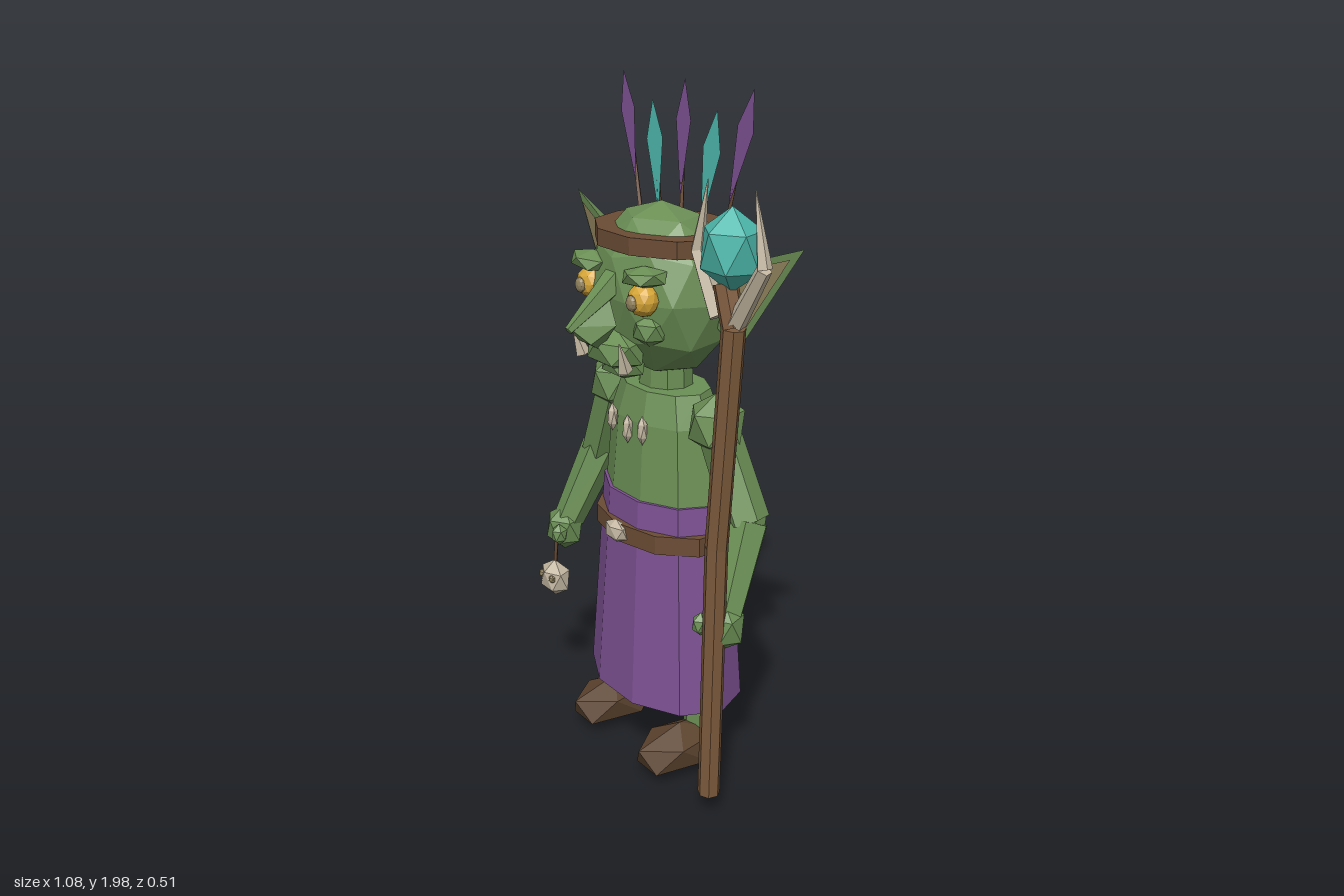
import * as THREE from 'three';
import { ConvexGeometry } from 'three/addons/geometries/ConvexGeometry.js';

const V = (x, y, z) => new THREE.Vector3(x, y, z);
const mat = (name, color, side = THREE.FrontSide) => {
  const m = new THREE.MeshStandardMaterial({ color, side });
  m.name = name;
  return m;
};

// faceted normals
function flat(g) {
  const f = g.index ? g.toNonIndexed() : g;
  f.computeVertexNormals();
  return f;
}
// icosphere standing on a pole vertex, squashed to an ellipsoid
function ball(rx, ry, rz, detail = 0) {
  const g = new THREE.IcosahedronGeometry(1, detail);
  g.rotateX(-Math.atan((1 + Math.sqrt(5)) / 2));
  return flat(g.scale(rx, ry, rz));
}
// ten-sided oval drum from y0 to y1
function drum(r0, r1, y0, y1, sz, turn = Math.PI / 10) {
  const g = new THREE.CylinderGeometry(r1, r0, y1 - y0, 10);
  g.rotateY(turn).scale(1, 1, sz).translate(0, (y0 + y1) / 2, 0);
  return flat(g);
}
// tapered rod from a to b
function rod(a, b, ra, rb, sides = 6) {
  const d = b.clone().sub(a);
  const g = new THREE.CylinderGeometry(rb, ra, d.length(), sides);
  g.applyQuaternion(new THREE.Quaternion().setFromUnitVectors(V(0, 1, 0), d.normalize()));
  const c = a.clone().add(b).multiplyScalar(0.5);
  return flat(g.translate(c.x, c.y, c.z));
}

export function createModel() {
  const green = mat('skin green', 0x6b8f55);
  const purple = mat('cloth purple', 0x7d5192, THREE.DoubleSide);
  const teal = mat('crystal teal', 0x4db8ac, THREE.DoubleSide);
  const brown = mat('leather brown', 0x6b4c35);
  const wood = mat('staff wood', 0x7c5a3c);
  const shoe = mat('shoe brown', 0x5c432e);
  const bone = mat('bone', 0xc4b8a2);
  const gold = mat('eye gold', 0xd6a535);
  const tan = mat('inner ear tan', 0x93845f, THREE.DoubleSide);

  const model = new THREE.Group();
  const body = new THREE.Group();
  body.name = 'body';
  body.position.x = -0.045;
  model.add(body);
  const add = (name, geo, material, x = 0, y = 0, z = 0, parent = body) => {
    const m = new THREE.Mesh(geo, material);
    m.name = name;
    m.position.set(x, y, z);
    parent.add(m);
    return m;
  };

  // robe, belt and torso
  const zc = -0.07;
  add('skirt', drum(0.277, 0.222, 0.23, 0.86, 0.7), purple, 0, 0, zc);
  add('belt', drum(0.243, 0.243, 0.725, 0.78, 0.73, 0), brown, 0, 0, zc);
  add('buckle', ball(0.05, 0.036, 0.025), bone, 0, 0.755, 0.105);
  add('torso', drum(0.215, 0.19, 0.85, 1.08, 0.68), green, 0, 0, zc);
  add('upperChest', drum(0.19, 0.155, 1.08, 1.17, 0.68), green, 0, 0, zc);
  add('neck', drum(0.085, 0.08, 1.15, 1.26, 0.9), green, 0, 0, zc);
  [-0.073, 0, 0.07].forEach((x, i) =>
    add('toothCharm', ball(0.017, 0.043, 0.015), bone, x, i === 1 ? 1.055 : 1.07, 0.063));

  // head and face
  add('head', ball(0.24, 0.24, 0.185, 1), green, 0, 1.44, -0.055);
  const nose = add('nose', rod(V(0, 1.49, 0.09), V(0, 1.37, 0.25), 0.04, 0.012, 5), green);
  nose.name = 'noseBridge';
  add('noseTip', new ConvexGeometry([
    V(0, 1.48, 0.13), V(-0.048, 1.375, 0.13), V(0.048, 1.375, 0.13),
    V(0, 1.30, 0.15), V(0, 1.38, 0.25), V(-0.03, 1.33, 0.2), V(0.03, 1.33, 0.2)]), green);
  add('mouth', ball(0.11, 0.06, 0.075), green, 0, 1.295, 0.1);
  add('chin', ball(0.08, 0.045, 0.06), green, 0, 1.25, 0.075);

  for (const s of [-1, 1]) {
    add('eye', ball(0.047, 0.045, 0.04, 1), gold, s * 0.12, 1.455, 0.095);
    add('pupil', ball(0.02, 0.022, 0.012, 1), tan, s * 0.12, 1.452, 0.132);
    const brow = add('brow', ball(0.078, 0.03, 0.06), green, s * 0.12, 1.515, 0.09);
    brow.rotation.z = s * 0.08;
    add('cheek', ball(0.055, 0.045, 0.045), green, s * 0.12, 1.37, 0.075);
    add('tusk', rod(V(s * 0.1, 1.265, 0.14), V(s * 0.11, 1.345, 0.165), 0.022, 0.002, 5), bone);

    // ears with a flat inner panel
    const T = V(s * 0.5, 1.63, -0.115), A = V(s * 0.2, 1.525, -0.06), C = V(s * 0.285, 1.315, -0.085);
    add('ear', new ConvexGeometry([T, A, C, V(s * 0.16, 1.42, -0.07), V(s * 0.2, 1.46, -0.165)]), green);
    const mid = T.clone().add(A).add(C).divideScalar(3);
    const inner = [T, A, C].map(p => p.clone().lerp(mid, 0.22).add(V(0, 0, 0.005)));
    const panel = new THREE.BufferGeometry().setFromPoints(s > 0 ? [inner[0], inner[1], inner[2]] : [inner[0], inner[2], inner[1]]);
    panel.computeVertexNormals();
    add('innerEar', panel, tan);

    // arms
    const shoulder = V(s * 0.235, 1.11, -0.065), elbow = V(s * 0.35, 0.86, -0.085), wrist = V(s * 0.39, 0.63, 0.015);
    add('shoulder', ball(0.085, 0.09, 0.085), green, shoulder.x, shoulder.y, shoulder.z);
    add('upperArm', rod(shoulder, elbow, 0.058, 0.062), green);
    add('elbow', ball(0.058, 0.05, 0.058), green, elbow.x, elbow.y, elbow.z);
    add('forearm', rod(elbow, wrist, 0.062, 0.048), green);
    add('hand', ball(0.068, 0.075, 0.06), green, s * 0.395, 0.6, 0.03);
    add('thumb', ball(0.025, 0.035, 0.028), green, s * 0.355, 0.6, 0.075);

    // legs and shoes
    add('leg', rod(V(s * 0.16, 0.12, -0.085), V(s * 0.15, 0.4, -0.08), 0.052, 0.056, 7), green);
    add('shoe', ball(0.092, 0.077, 0.168), shoe, s * 0.168, 0.087, 0);
  }

  // headband with a fan of feathers
  add('headband', drum(0.232, 0.232, 1.565, 1.612, 0.82), brown, 0, 0, -0.076);
  for (let i = -2; i <= 2; i++) {
    const odd = i % 2 !== 0;
    const base = V(i * 0.09, 1.59, -0.112), tip = V(i * 0.14, odd ? 1.925 : 1.99, -0.128);
    const len = tip.distanceTo(base), w = odd ? 0.037 : 0.032;
    const vane = new THREE.Shape([[0, len], [-w, len - 0.105], [0, len - 0.31], [w, len - 0.105]]
      .map(p => new THREE.Vector2(...p)));
    const feather = new THREE.Group();
    feather.name = 'feather';
    feather.position.copy(base);
    feather.rotation.set(-0.045, 0, -Math.atan2(tip.x - base.x, tip.y - base.y));
    body.add(feather);
    add('vane', new THREE.ShapeGeometry(vane), odd ? teal : purple, 0, 0, 0, feather);
    add('quill', rod(V(0, -0.02, -0.007), V(0, len - 0.06, -0.004), 0.008, 0.003, 4), brown, 0, 0, 0, feather);
  }

  // small skull hanging from the right hand
  add('string', rod(V(-0.395, 0.57, 0.06), V(-0.395, 0.46, 0.07), 0.007, 0.007, 4), shoe);
  add('skullCharm', ball(0.062, 0.062, 0.045), bone, -0.395, 0.435, 0.07);
  for (const s of [-1, 1])
    add('skullEye', ball(0.014, 0.014, 0.01), tan, -0.395 + s * 0.028, 0.447, 0.1);

  // staff with a forked top and crystal
  const staff = new THREE.Group();
  staff.name = 'staff';
  staff.position.z = 0.07;
  model.add(staff);
  const path = [V(0.35, 0.08, 0), V(0.365, 0.85, 0), V(0.415, 1.455, 0), V(0.38, 1.56, 0)];
  for (let i = 0; i < 3; i++)
    add('shaft', rod(path[i], path[i + 1], 0.032, 0.032, 7), wood, 0, 0, 0, staff);
  add('crystal', ball(0.092, 0.105, 0.08), teal, 0.402, 1.645, 0, staff);
  for (const s of [-1, 1]) {
    const knee = V(0.396 + s * 0.125, 1.62, 0);
    add('prong', rod(V(0.39 + s * 0.035, 1.47, 0), knee, 0.026, 0.02, 5), bone, 0, 0, 0, staff);
    add('prongTip', rod(knee, V(0.396 + s * 0.088, 1.8, 0), 0.02, 0.001, 5), bone, 0, 0, 0, staff);
  }
  return model;
}
